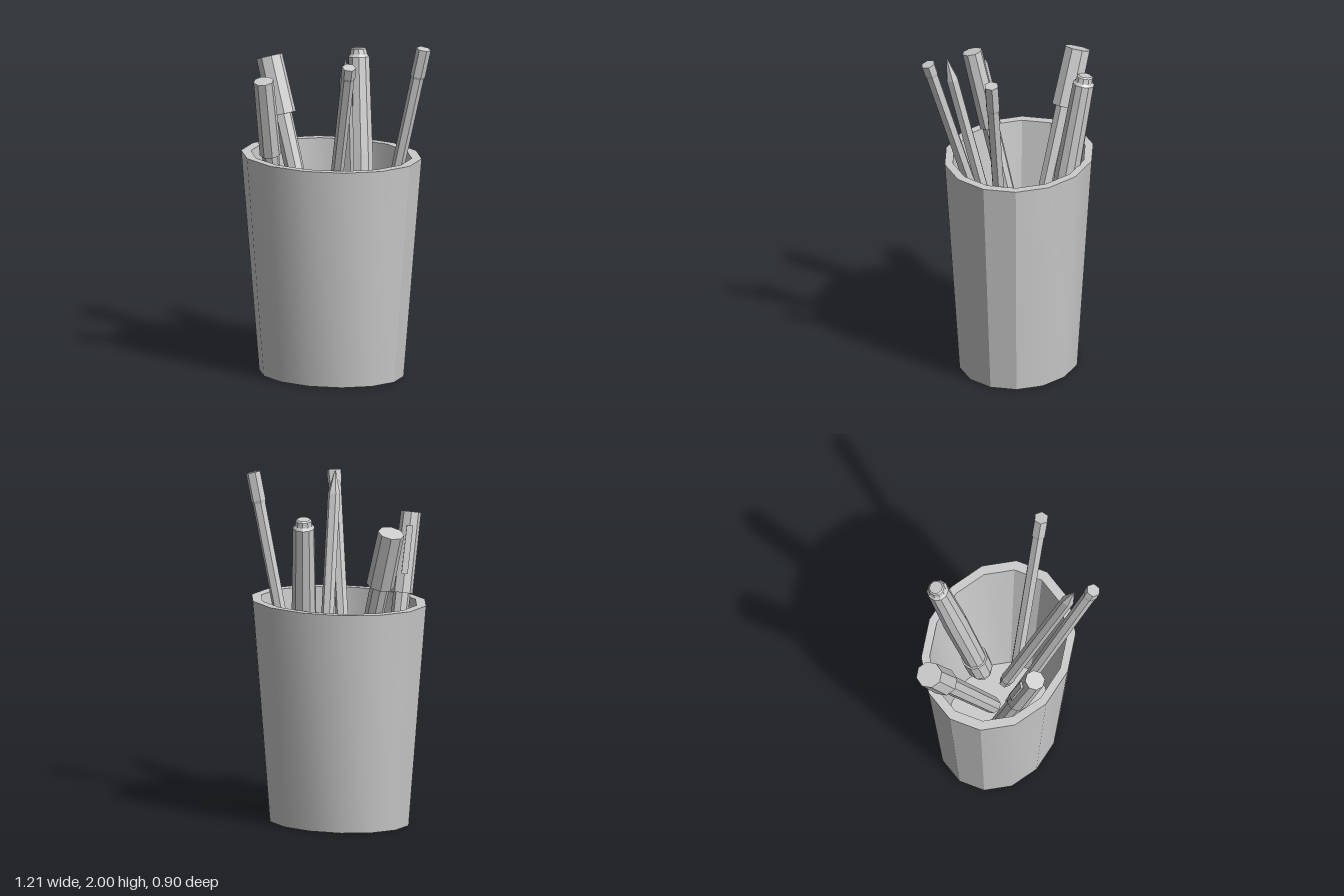
import * as THREE from 'three';
import { toCreasedNormals } from 'three/addons/utils/BufferGeometryUtils.js';

const smooth = new THREE.MeshStandardMaterial({ color: 0xcccccc });
const faceted = new THREE.MeshStandardMaterial({ color: 0xcccccc, flatShading: true });
const UP = new THREE.Vector3(0, 1, 0);

const points = (list) => list.map(([r, y]) => new THREE.Vector2(r, y));

// A faceted stick between two points; profile is [radius, fraction of length]
function stick(name, bottom, top, sides, profile) {
  const from = new THREE.Vector3(...bottom);
  const axis = new THREE.Vector3(...top).sub(from);
  const length = axis.length();
  const outline = [[0, profile[0][1]], ...profile, [0, profile[profile.length - 1][1]]];
  const geometry = new THREE.LatheGeometry(points(outline.map(([r, t]) => [r, t * length])), sides);
  const mesh = new THREE.Mesh(geometry, faceted);
  mesh.name = name;
  mesh.position.copy(from);
  mesh.quaternion.setFromUnitVectors(UP, axis.normalize());
  return mesh;
}

export function createModel() {
  const group = new THREE.Group();
  group.name = 'penCup';

  // Oval tapered cup with a thick wall and floor
  const wall = [[0, 0], [0.8, 0], [1, 1.3], [0.89, 1.3], [0.67, 0.06], [0, 0.06]];
  const cupGeometry = new THREE.LatheGeometry(points(wall), 14).scale(0.536, 1, 0.43);
  const cup = new THREE.Mesh(toCreasedNormals(cupGeometry, Math.PI / 6), smooth);
  cup.name = 'cup';
  cup.position.set(-0.014, 0, -0.004);
  cup.rotation.y = 0.24;
  group.add(cup);

  // Capped markers
  group.add(stick('wideMarker', [-0.065, 0.4, -0.01], [-0.537, 1.785, -0.125], 8,
    [[0.05, 0], [0.057, 0.765], [0.081, 0.765], [0.077, 1]]));
  const slimMarker = stick('slimMarker', [-0.295, 0.31, 0.055], [-0.212, 1.79, 0.395], 8,
    [[0.043, 0], [0.05, 0.69], [0.063, 0.69], [0.059, 1]]);
  group.add(slimMarker);

  // Clip on the slim marker's cap
  const clip = new THREE.Mesh(new THREE.BoxGeometry(0.036, 0.28, 0.016), faceted);
  clip.name = 'markerClip';
  const clipTurn = new THREE.Group();
  clipTurn.name = 'markerClipMount';
  clipTurn.rotation.y = Math.PI * 1.25;
  clip.position.set(0, 1.3, 0.062);
  clipTurn.add(clip);
  slimMarker.add(clipTurn);

  // Thick pen with a wider grip and a bevelled button end
  group.add(stick('thickPen', [0.085, 0.35, -0.19], [-0.094, 1.845, -0.39], 10,
    [[0.055, 0], [0.074, 0.05], [0.077, 0.17], [0.066, 0.17], [0.073, 0.6], [0.064, 0.965],
      [0.052, 0.975], [0.047, 0.995], [0.038, 1]]));

  // Six-sided pencils: two with blunt ends, one point up
  const blunt = [[0.035, 0], [0.038, 0.89], [0.043, 0.9], [0.043, 1]];
  group.add(stick('tallPencil', [0.205, 0.37, -0.035], [0.563, 1.99, -0.11], 6, blunt));
  group.add(stick('frontPencil', [-0.015, 0.45, 0.08], [0.385, 1.955, 0.385], 6,
    [[0.035, 0], [0.038, 0.95], [0.042, 0.96], [0.042, 1]]));
  group.add(stick('sharpPencil', [0.1, 0.37, -0.04], [0.302, 1.97, 0.305], 6,
    [[0.034, 0], [0.034, 0.03], [0.039, 0.035], [0.039, 0.06], [0.037, 0.065],
      [0.037, 0.92], [0.004, 1]]));

  return group;
}
